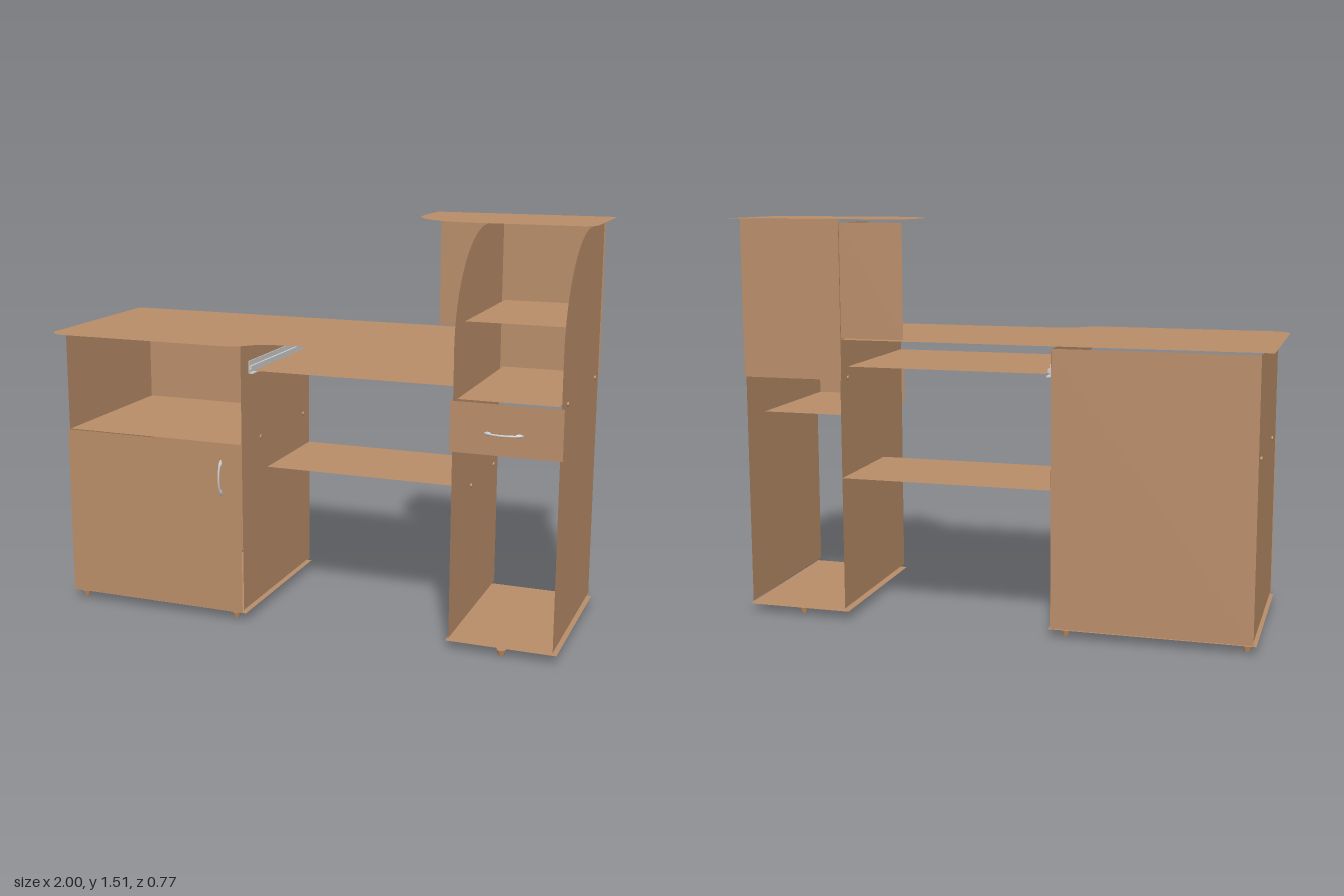
import * as THREE from 'three';

const wood = new THREE.MeshStandardMaterial({ color: 0xb88c68, side: THREE.DoubleSide });
const metal = new THREE.MeshStandardMaterial({ color: 0xcccccc });

export function createModel() {
  const desk = new THREE.Group();
  desk.name = 'computerDesk';

  const add = (name, geometry, material = wood, parent = desk) => {
    const mesh = new THREE.Mesh(geometry, material);
    mesh.name = name;
    parent.add(mesh);
    return mesh;
  };
  const rect = (a0, a1, b0, b1) => new THREE.Shape([
    new THREE.Vector2(a0, b0), new THREE.Vector2(a1, b0),
    new THREE.Vector2(a1, b1), new THREE.Vector2(a0, b1)]);

  // Thin boards: flat (x, z), upright facing front (x, y), upright facing sideways (z, y)
  const flat = (name, shape, y) =>
    add(name, new THREE.ShapeGeometry(shape, 16).rotateX(Math.PI / 2).translate(0, y, 0));
  const facing = (name, shape, z) =>
    add(name, new THREE.ShapeGeometry(shape, 16).translate(0, 0, z));
  const side = (name, shape, x) =>
    add(name, new THREE.ShapeGeometry(shape, 24).rotateY(-Math.PI / 2).translate(x, 0, 0));

  // Worktop with rounded corner and S-shaped step
  const top = new THREE.Shape();
  top.moveTo(-1, -0.345);
  top.lineTo(0.572, -0.345);
  top.lineTo(0.572, 0.295);
  top.lineTo(-0.08, 0.295);
  top.quadraticCurveTo(-0.14, 0.295, -0.18, 0.34);
  top.quadraticCurveTo(-0.21, 0.385, -0.27, 0.385);
  top.lineTo(-0.92, 0.385);
  top.absarc(-0.92, 0.305, 0.08, Math.PI / 2, Math.PI, false);
  top.closePath();
  flat('worktop', top, 1.07);

  // Cupboard
  for (const x of [-0.955, -0.222]) side('cupboardSide', rect(-0.345, 0.317, 0.045, 1.06), x);
  facing('cupboardBack', rect(-0.957, -0.223, 0.037, 1.062), -0.348);
  facing('cupboardDoor', rect(-0.957, -0.223, 0.037, 0.69), 0.327);
  flat('cupboardShelf', rect(-0.953, -0.224, -0.343, 0.315), 0.69);
  flat('cupboardBottom', rect(-0.967, -0.213, -0.345, 0.32), 0.033);

  // Tower
  const tower = new THREE.Shape();
  tower.moveTo(-0.345, 0.045);
  tower.lineTo(0.305, 0.045);
  tower.lineTo(0.305, 1.095);
  tower.absarc(-0.095, 1.095, 0.4, 0, Math.PI / 2, false);
  tower.lineTo(-0.345, 1.495);
  tower.closePath();
  for (const x of [0.58, 0.96]) side('towerSide', tower, x);
  facing('towerBack', rect(0.575, 0.965, 0.92, 1.508), -0.348);
  facing('wingBack', rect(0.333, 0.575, 1.075, 1.497), -0.342);
  flat('towerBottom', rect(0.567, 0.973, -0.345, 0.302), 0.033);
  flat('towerUpperShelf', rect(0.592, 0.948, -0.343, 0.217), 1.185);
  flat('towerMiddleShelf', rect(0.592, 0.948, -0.343, 0.295), 0.925);

  // Tower top plate
  const cap = new THREE.Shape();
  cap.moveTo(0.305, -0.39);
  cap.lineTo(1, -0.39);
  cap.lineTo(1, -0.02);
  cap.absarc(0.94, -0.02, 0.06, 0, Math.PI / 2, false);
  cap.lineTo(0.56, 0.04);
  cap.absellipse(0.56, -0.21, 0.255, 0.25, Math.PI / 2, Math.PI, false);
  cap.closePath();
  flat('towerTop', cap, 1.51);

  // Drawer
  facing('drawerFront', rect(0.57, 0.97, 0.738, 0.92), 0.307);
  flat('drawerBottom', rect(0.597, 0.943, -0.235, 0.3), 0.77);
  for (const x of [0.597, 0.943]) side('drawerSide', rect(-0.235, 0.3, 0.77, 0.89), x);

  // Keyboard tray with its rail, and the lower shelf
  flat('keyboardTray', rect(-0.19, 0.57, -0.3, 0.275), 0.965);
  flat('lowerShelf', rect(-0.222, 0.58, -0.345, 0.085), 0.55);
  const rail = new THREE.Group();
  rail.name = 'trayRail';
  desk.add(rail);
  for (const [x, y, w, h] of [[-0.208, 0.977, 0.004, 0.046], [-0.2, 0.955, 0.018, 0.004], [-0.202, 0.975, 0.009, 0.014]])
    add('railProfile', new THREE.BoxGeometry(w, h, 0.575).translate(x, y, -0.0125), metal, rail);

  // Bow handles
  const bow = new THREE.CatmullRomCurve3([
    [-0.066, 0], [-0.06, 0.008], [-0.035, 0.019], [0, 0.024], [0.035, 0.019], [0.06, 0.008], [0.066, 0],
  ].map(([x, z]) => new THREE.Vector3(x, 0, z)));
  const handle = (name, x, y, z, turn) => {
    const g = new THREE.Group();
    g.name = name;
    g.position.set(x, y, z);
    g.rotation.z = turn;
    desk.add(g);
    add('handleBow', new THREE.TubeGeometry(bow, 24, 0.004, 8), metal, g);
    for (const s of [-1, 1]) {
      const pad = add('handleEnd', new THREE.SphereGeometry(1, 12, 8), metal, g);
      pad.scale.set(0.015, 0.007, 0.006);
      pad.position.set(s * 0.054, 0, 0.007);
      pad.rotation.y = s * 0.5;
    }
  };
  handle('doorHandle', -0.295, 0.565, 0.345, Math.PI / 2);
  handle('drawerHandle', 0.77, 0.822, 0.333, 0);

  // Feet
  const feet = [[0.77, 0.28], [0.77, -0.295]];
  for (const x of [-0.93, -0.27]) for (const z of [0.28, -0.295]) feet.push([x, z]);
  for (const [x, z] of feet)
    add('foot', new THREE.CylinderGeometry(0.017, 0.012, 0.021, 16).translate(x, 0.0105, z));

  // Screw caps on the side boards: x, y, z
  const caps = [
    [0.963, 0.92, 0.215], [0.963, 0.92, -0.275], [0.577, 0.92, 0.215], [0.577, 0.92, -0.275],
    [0.585, 0.55, 0.055], [0.585, 0.55, -0.27], [-0.958, 0.69, 0.15], [-0.958, 0.69, -0.265],
    [-0.218, 0.685, 0.15], [-0.218, 0.685, -0.275],
  ];
  for (const [x, y, z] of caps)
    add('screwCap', new THREE.CylinderGeometry(0.008, 0.008, 0.006, 12).rotateZ(Math.PI / 2).translate(x, y, z));

  return desk;
}
